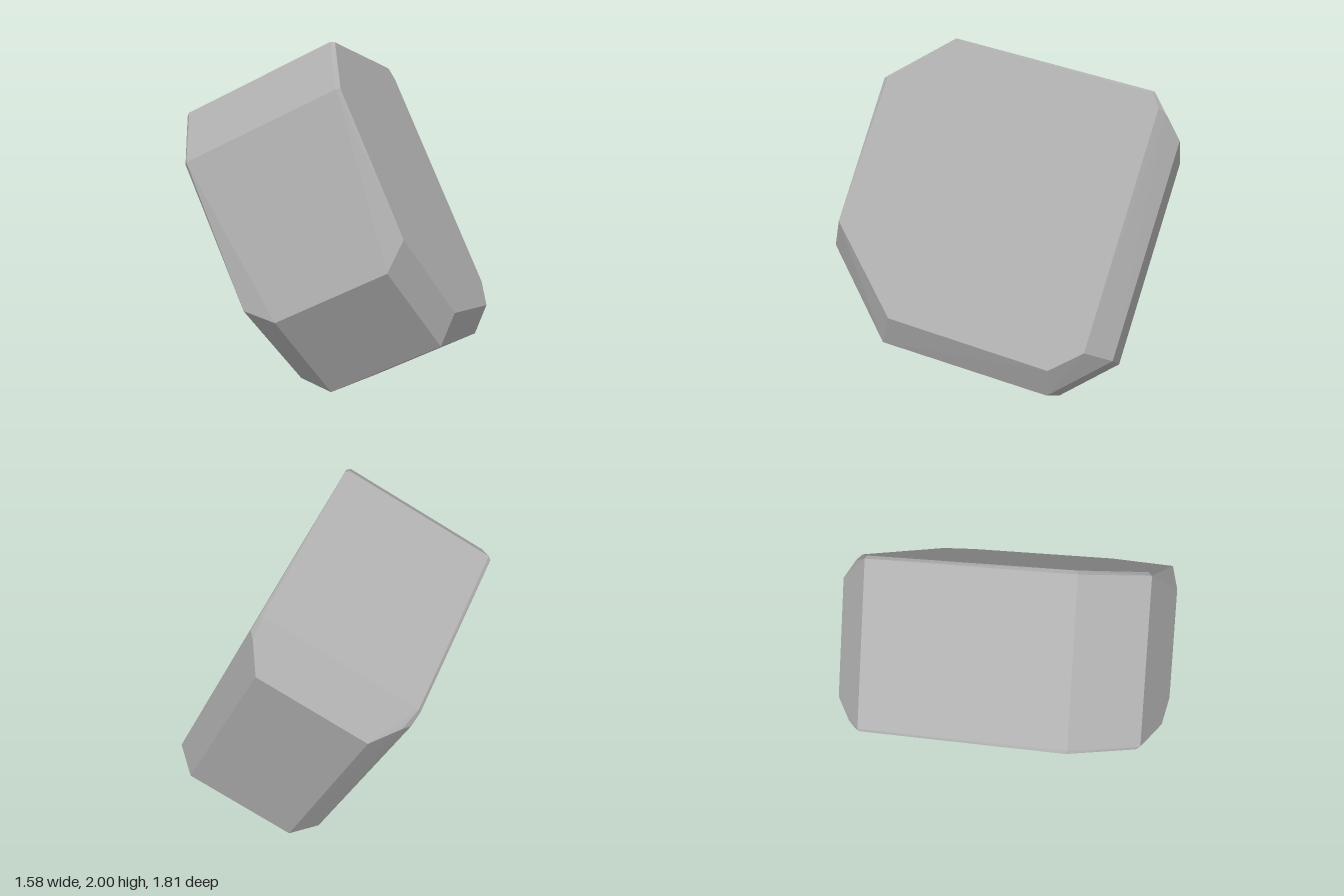
import * as THREE from 'three';
import { ConvexGeometry } from 'three/addons/geometries/ConvexGeometry.js';

export function createModel() {
  const group = new THREE.Group();
  group.name = 'rock';
  const stone = new THREE.MeshStandardMaterial({ color: 0xb0b0b0 });
  stone.name = 'grey stone';

  // Corners of one half of the slab: [half thickness, height along slab, depth]
  const corners = [
    // broad flat face
    [0.451, 1.78, 0.30], [0.451, 1.556, 0.66], [0.451, 0.774, 0.86], [0.451, 0.277, 0.55],
    [0.451, 0.06, -0.30], [0.451, 0.161, -0.48], [0.451, 1.446, -0.79], [0.451, 1.525, -0.755],
    // outer rim, where the bevels meet the side walls
    [0.432, 1.793, 0.305], [0.434, 1.565, 0.68], [0.314, 0.662, 0.905], [0.32, 0.156, 0.60],
    [0.319, -0.065, -0.29], [0.32, 0.134, -0.62], [0.315, 1.305, -0.905], [0.418, 1.43, -0.825],
    [0.435, 1.538, -0.765],
  ];

  // Mirror the half across the slab's middle and wrap it
  const points = [];
  for (const side of [1, -1]) {
    for (const [x, y, z] of corners) points.push(new THREE.Vector3(side * x, y, z));
  }
  const slab = new THREE.Mesh(new ConvexGeometry(points), stone);
  slab.name = 'bevelledStone';

  // Lean the slab over
  slab.rotation.z = Math.atan(0.5);
  slab.position.set(0.412, 0.202, 0);
  group.add(slab);
  return group;
}
